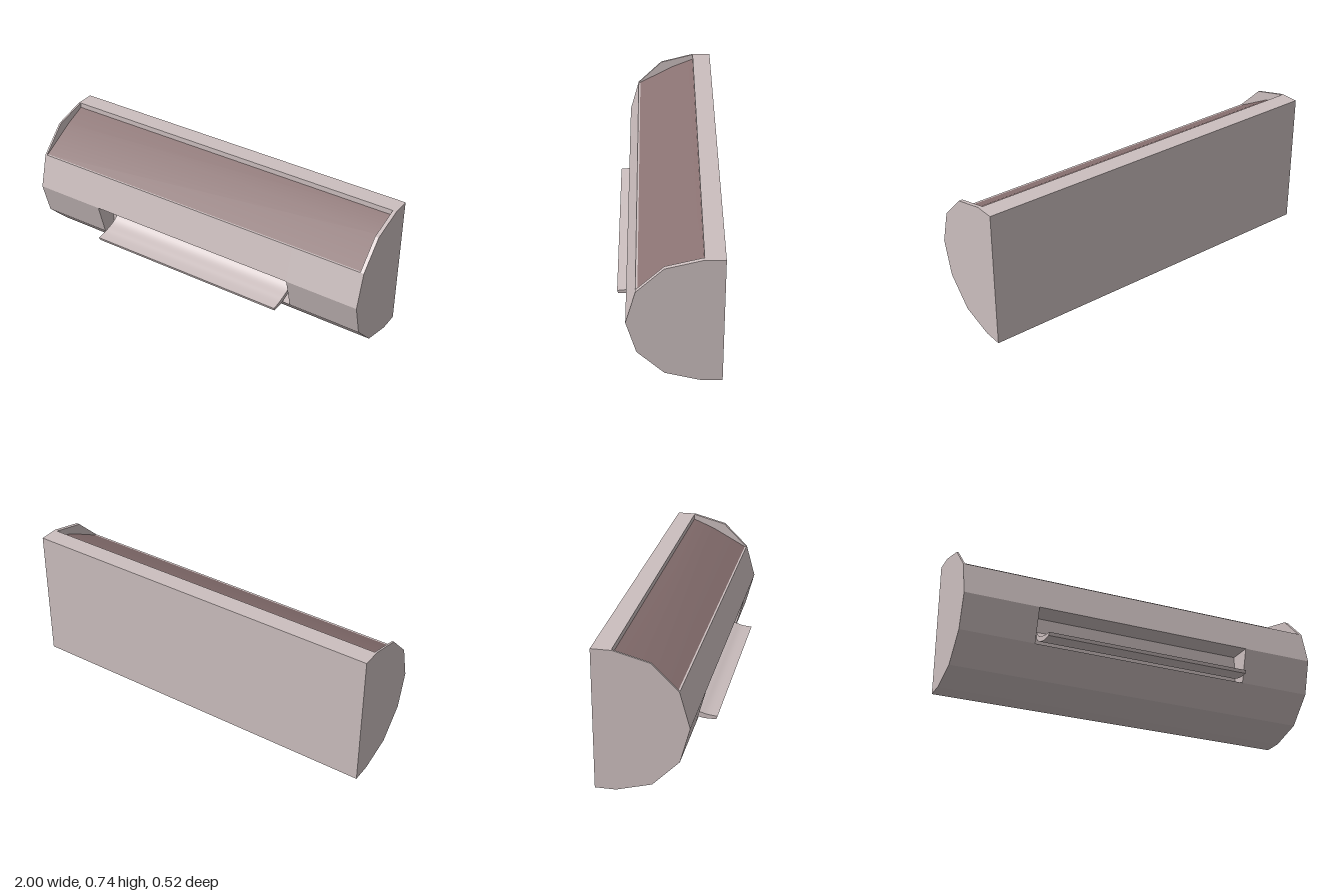
import * as THREE from 'three';
import { toCreasedNormals } from 'three/addons/utils/BufferGeometryUtils.js';

const bodyMaterial = new THREE.MeshStandardMaterial({ color: 0xcbbebe });
const panelMaterial = new THREE.MeshStandardMaterial({ color: 0x8a7272 });

// Extrude a [z, y] profile along x from x0 to x1
function extrudeX(name, profile, x0, x1, material = bodyMaterial) {
  const shape = new THREE.Shape(profile.map(([z, y]) => new THREE.Vector2(-z, y)));
  let geometry = new THREE.ExtrudeGeometry(shape, { depth: x1 - x0, bevelEnabled: false });
  geometry.rotateY(Math.PI / 2).translate(x0, 0, 0);
  geometry = toCreasedNormals(geometry, 0.23);
  const mesh = new THREE.Mesh(geometry, material);
  mesh.name = name;
  return mesh;
}

// Sample a smooth curve through a few [z, y] points
function smooth(points, count) {
  const curve = new THREE.SplineCurve(points.map(([z, y]) => new THREE.Vector2(z, y)));
  return curve.getPoints(count).map((p) => [p.x, p.y]);
}

export function createModel() {
  const group = new THREE.Group();
  const left = 0.98, right = -0.99, slot = 0.6, slotBack = 0.08;

  // Half-round outline, from the back bottom edge round the front
  const lower = [[-0.26, 0], [-0.155, 0], [0.025, 0.05], [0.16, 0.187]];
  const nose = [0.21, 0.37];
  const upper = [[0.16, 0.555], [0.025, 0.69], [-0.155, 0.738], [-0.26, 0.738]];
  const outline = [...lower, nose, ...upper];

  // Thin end plates
  group.add(extrudeX('rightEndPlate', outline, -1, right));
  group.add(extrudeX('leftEndPlate', outline, left, 1));

  // Housing between the plates, cut down at the top for the sunken panel
  const top = [[0.16, 0.555], [0.15, 0.555], [-0.04, 0.65], [-0.16, 0.70], [-0.16, 0.738], [-0.26, 0.738]];
  const solid = [...lower, nose, ...top];
  group.add(extrudeX('rightHousing', solid, right, -slot));
  group.add(extrudeX('leftHousing', solid, slot, left));

  // Middle housing with the slot cut into its lower front
  const slotted = [...lower, [slotBack, 0.187], [slotBack, 0.37], nose, ...top];
  group.add(extrudeX('slottedHousing', slotted, -slot, slot));

  // Dark sunken panel in two facets
  const panel = [[0.15, 0.555], [-0.04, 0.66], [-0.16, 0.71], [-0.16, 0.70], [-0.04, 0.65], [0.14, 0.555]];
  group.add(extrudeX('topPanel', panel, right, left, panelMaterial));

  // Curved tray reaching out of the slot
  const trayTop = smooth([[0.082, 0.29], [0.105, 0.262], [0.135, 0.243], [0.175, 0.231], [0.21, 0.221], [0.262, 0.215]], 16);
  const trayBottom = smooth([[0.256, 0.198], [0.2, 0.198], [0.165, 0.205], [0.12, 0.222], [0.09, 0.245], [0.07, 0.28]], 16);
  group.add(extrudeX('tray', [...trayTop, ...trayBottom], -0.565, 0.565));

  return group;
}
